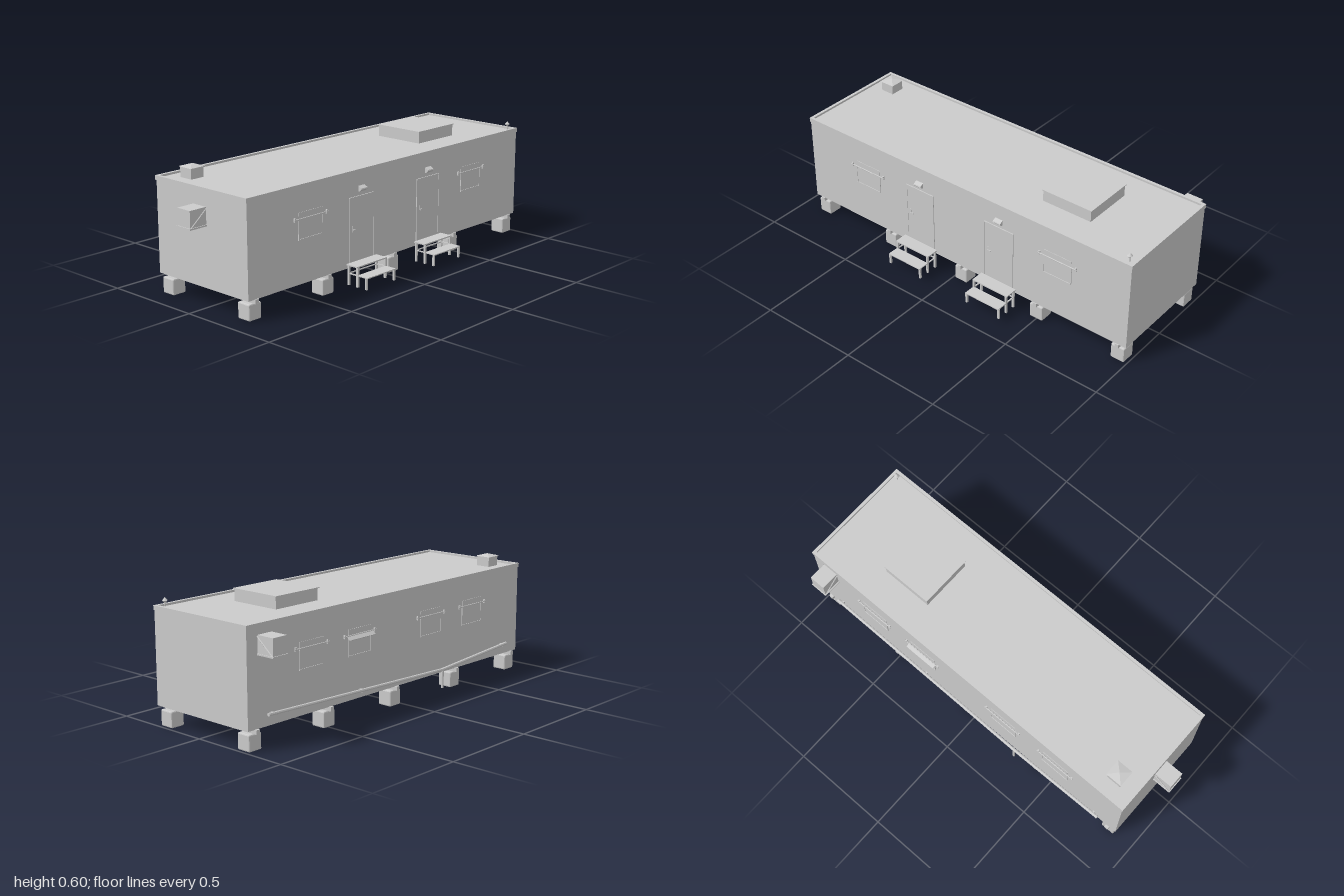
import * as THREE from 'three';
import { RoundedBoxGeometry } from 'three/addons/geometries/RoundedBoxGeometry.js';

const mat = new THREE.MeshStandardMaterial({ color: 0xcccccc, flatShading: true });
const FRONT = 0.277, BACK = -0.306;

function add(parent, name, geometry, x = 0, y = 0, z = 0) {
  const mesh = new THREE.Mesh(geometry, mat);
  mesh.name = name;
  mesh.position.set(x, y, z);
  parent.add(mesh);
  return mesh;
}

// Box given by its minimum and maximum on each axis
function box(parent, name, x0, x1, y0, y1, z0, z1) {
  return add(parent, name, new THREE.BoxGeometry(x1 - x0, y1 - y0, z1 - z0),
    (x0 + x1) / 2, (y0 + y1) / 2, (z0 + z1) / 2);
}

// Round bar between two points
function bar(parent, name, a, b, r, sides = 8) {
  const p = new THREE.Vector3(...a), q = new THREE.Vector3(...b);
  const mesh = add(parent, name, new THREE.CylinderGeometry(r, r, p.distanceTo(q), sides));
  mesh.position.copy(p).add(q).multiplyScalar(0.5);
  mesh.quaternion.setFromUnitVectors(new THREE.Vector3(0, 1, 0), q.sub(p).normalize());
  return mesh;
}

function group(parent, name, x = 0, y = 0, z = 0, turn = 0) {
  const g = new THREE.Group();
  g.name = name;
  g.position.set(x, y, z);
  g.rotation.y = turn;
  parent.add(g);
  return g;
}

// Window on a wall facing local +z, with a shutter rail above
function windowUnit(parent, x, z, turn, open) {
  const g = group(parent, 'window', x, 0, z, turn);
  box(g, 'windowPane', -0.075, 0.075, 0.303, 0.425, -0.004, 0.002);
  box(g, 'windowSill', -0.077, 0.077, 0.299, 0.305, 0, 0.005);
  for (const s of [-1, 1]) {
    box(g, 'windowJamb', s * 0.075 - 0.002, s * 0.075 + 0.002, 0.303, 0.39, 0, 0.004);
    box(g, 'railBracket', s * 0.1 - 0.004, s * 0.1 + 0.004, 0.388, 0.406, -0.002, 0.008);
  }
  bar(g, 'shutterRail', [-0.107, 0.397, 0.006], [0.107, 0.397, 0.006], 0.003);
  if (open) {
    const slat = box(g, 'openShutter', -0.085, 0.085, 0.386, 0.39, 0.001, 0.025);
    slat.rotation.x = 0.75;
  }
}

// Door with handle and a wedge shaped lamp above
function doorUnit(parent, x) {
  const g = group(parent, 'door', x, 0, FRONT);
  box(g, 'doorLeaf', -0.08, 0.08, 0.098, 0.422, -0.004, 0.002);
  box(g, 'doorHeader', -0.084, 0.084, 0.422, 0.427, -0.002, 0.005);
  for (const s of [-1, 1])
    box(g, 'doorJamb', s * 0.082 - 0.002, s * 0.082 + 0.002, 0.097, 0.425, -0.002, 0.004);
  box(g, 'lockPlate', -0.065, -0.055, 0.262, 0.292, 0, 0.004);
  box(g, 'doorHandle', -0.062, -0.042, 0.27, 0.275, 0.003, 0.008);
  const profile = new THREE.Shape([[0, 0.446], [0.01, 0.448], [0.02, 0.458], [0.018, 0.463], [0, 0.473]]
    .map(([a, b]) => new THREE.Vector2(a, b)));
  const lamp = add(g, 'doorLamp', new THREE.ExtrudeGeometry(profile, { depth: 0.042, bevelEnabled: false }), 0.021);
  lamp.rotation.y = -Math.PI / 2;
  lamp.position.x = 0.021;
}

// Two-step stair on thin legs
function stair(parent, x) {
  const g = group(parent, 'stair', x);
  box(g, 'upperStep', -0.102, 0.102, 0.115, 0.121, 0.281, 0.347);
  box(g, 'lowerStep', -0.098, 0.098, 0.075, 0.08, 0.345, 0.406);
  for (const s of [-1, 1]) {
    for (const [z, top] of [[0.29, 0.116], [0.344, 0.116], [0.398, 0.077]])
      box(g, 'stairLeg', s * 0.095 - 0.005, s * 0.095 + 0.005, 0.022, top, z - 0.005, z + 0.005);
    box(g, 'stairRail', s * 0.095 - 0.003, s * 0.095 + 0.003, 0.075, 0.08, 0.29, 0.398);
  }
  box(g, 'crossRail', -0.095, 0.095, 0.075, 0.08, 0.287, 0.292);
}

// Cooling unit on a shelf with diagonal braces, sticking out along local +z
function coolingUnit(parent, x, y, z, turn) {
  const g = group(parent, 'coolingUnit', x, y, z, turn);
  box(g, 'unitCase', -0.041, 0.041, 0.004, 0.083, -0.004, 0.091);
  box(g, 'unitShelf', -0.045, 0.045, -0.003, 0.004, -0.002, 0.095);
  for (const s of [-1, 1])
    bar(g, 'shelfBrace', [s * 0.043, 0.077, 0], [s * 0.043, 0.002, 0.092], 0.003, 4);
}

export function createModel() {
  const model = new THREE.Group();
  model.name = 'siteCabin';

  // Cabin body and raised roof edge
  box(model, 'cabinBody', -0.904, 0.997, 0.096, 0.541, BACK, FRONT);
  const rim = new THREE.Shape([[-0.908, -0.28], [1, -0.28], [1, 0.31], [-0.908, 0.31]]
    .map(p => new THREE.Vector2(...p)));
  rim.holes.push(new THREE.Path([[-0.893, -0.265], [-0.893, 0.295], [0.985, 0.295], [0.985, -0.265]]
    .map(p => new THREE.Vector2(...p))));
  const edge = add(model, 'roofEdge', new THREE.ExtrudeGeometry(rim, { depth: 0.021, bevelEnabled: false }), 0, 0.53, 0);
  edge.rotation.x = -Math.PI / 2;

  // Foundation blocks and cross beams
  for (const x of [-0.858, -0.405, 0.046, 0.497, 0.95]) {
    box(model, 'crossBeam', x - 0.01, x + 0.01, 0.077, 0.097, -0.318, 0.282);
    for (const z of [0.234, -0.264])
      add(model, 'foundationBlock', new RoundedBoxGeometry(0.072, 0.077, 0.073, 1, 0.006), x, 0.0385, z);
  }

  // Front wall
  for (const x of [-0.192, 0.283]) doorUnit(model, x);
  for (const x of [-0.194, 0.285]) stair(model, x);
  for (const x of [-0.525, 0.615]) windowUnit(model, x, FRONT, 0, false);

  // Back wall windows
  for (const x of [0.615, 0.305, -0.2, -0.52])
    windowUnit(model, x, BACK, Math.PI, x === 0.305);

  // Sloping drain pipe with a downpipe at its low point
  const drain = group(model, 'drainPipe', 0, 0, -0.319);
  bar(drain, 'longDrain', [0.89, 0.15, 0], [-0.28, 0.113, 0], 0.008);
  bar(drain, 'shortDrain', [-0.28, 0.113, 0], [-0.8, 0.15, 0], 0.008);
  bar(drain, 'downpipe', [-0.28, 0.115, -0.003], [-0.28, 0.022, -0.003], 0.006);
  for (const [x, y] of [[0.86, 0.149], [0.3, 0.131], [-0.77, 0.148]])
    box(drain, 'pipeClip', x - 0.004, x + 0.004, y - 0.008, y + 0.006, -0.004, 0.014);

  // Cooling units on the back wall and the right end wall
  coolingUnit(model, 0.893, 0.418, BACK, Math.PI);
  coolingUnit(model, -0.904, 0.383, -0.02, -Math.PI / 2);

  // Roof hatch
  box(model, 'roofHatch', 0.408, 0.67, 0.54, 0.597, -0.147, 0.116);
  box(model, 'hatchLid', 0.403, 0.674, 0.597, 0.601, -0.153, 0.119);

  // Roof vent with a pyramid cap
  box(model, 'roofVent', -0.828, -0.756, 0.54, 0.592, -0.232, -0.159);
  const cap = add(model, 'ventCap', new THREE.ConeGeometry(0.042 * Math.SQRT2, 0.012, 4), -0.792, 0.597, -0.196);
  cap.rotation.y = Math.PI / 4;

  // Small roof mast with stacked conical caps
  const mast = group(model, 'roofMast', 0.963, 0, 0.245);
  bar(mast, 'mastPost', [0, 0.538, 0], [0, 0.575, 0], 0.003);
  add(mast, 'mastCap', new THREE.ConeGeometry(0.013, 0.014, 12), 0, 0.579, 0);
  add(mast, 'mastCollar', new THREE.CylinderGeometry(0.011, 0.006, 0.007, 12), 0, 0.567, 0);

  return model;
}
